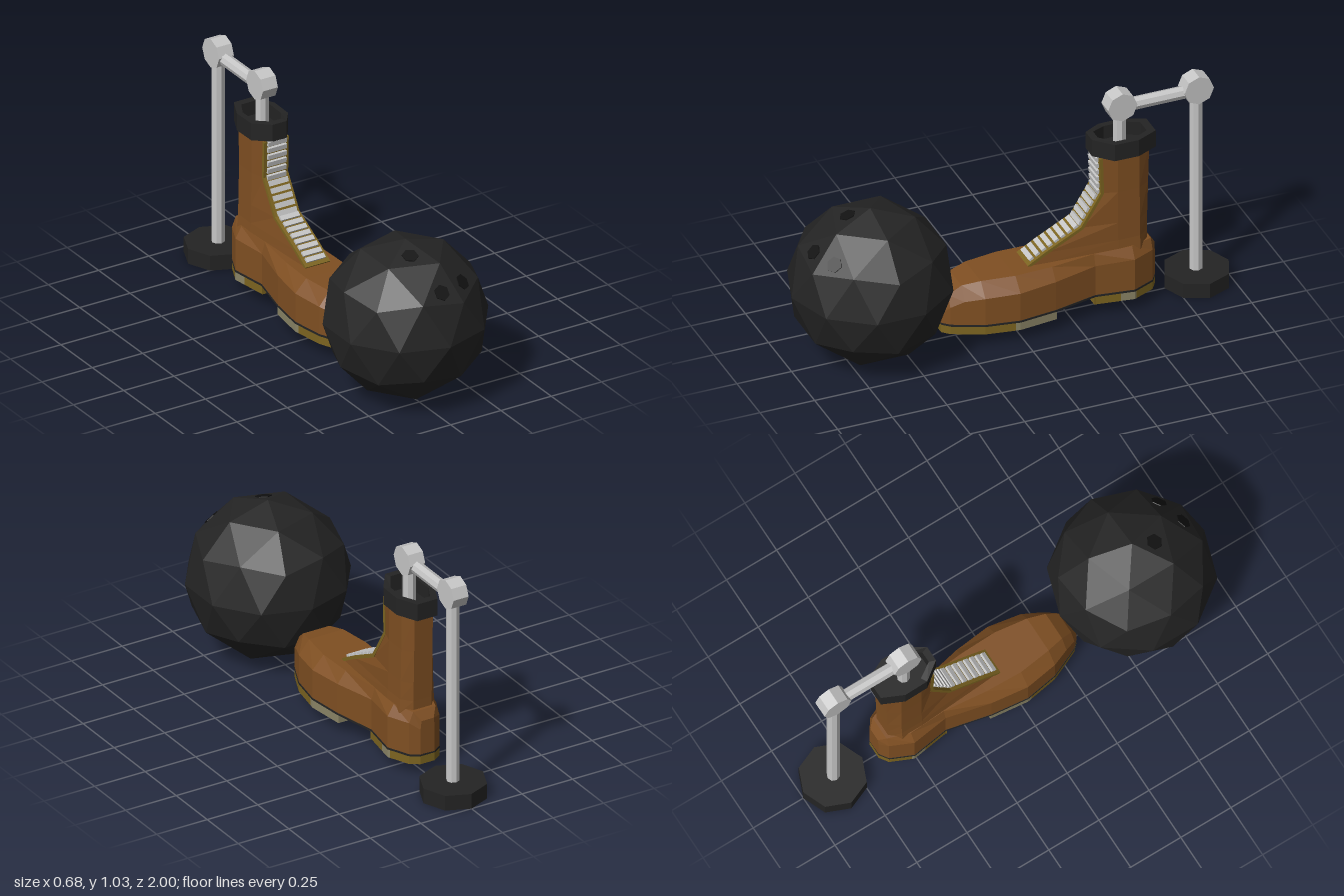
import * as THREE from 'three';

const mat = (name, color) => {
  const m = new THREE.MeshStandardMaterial({ color });
  m.name = name;
  return m;
};

// Faceted normals for every part
function flat(geo) {
  const g = geo.index ? geo.toNonIndexed() : geo;
  g.computeVertexNormals();
  return g;
}

// Skin through closed rings; first ring is counter-clockwise seen from outside
function loft(rings) {
  const pos = [];
  const tri = (...pts) => pts.forEach(p => pos.push(...p));
  const n = rings[0].length;
  for (let j = 0; j < rings.length - 1; j++) {
    for (let i = 0; i < n; i++) {
      const k = (i + 1) % n, a = rings[j], b = rings[j + 1];
      tri(a[i], b[i], a[k]);
      tri(a[k], b[i], b[k]);
    }
  }
  const first = rings[0], last = rings[rings.length - 1];
  for (let i = 1; i < n - 1; i++) {
    tri(first[0], first[i], first[i + 1]);
    tri(last[0], last[i + 1], last[i]);
  }
  const g = new THREE.BufferGeometry();
  g.setAttribute('position', new THREE.Float32BufferAttribute(pos, 3));
  return flat(g);
}

// Mirrored plan outline from half points [x, z], ordered front to back
const plan = half => [
  ...half.map(([x, z]) => new THREE.Vector2(x, -z)),
  ...half.slice().reverse().map(([x, z]) => new THREE.Vector2(-x, -z)),
];

function slab(half, y0, y1, hole) {
  const shape = new THREE.Shape(plan(half));
  if (hole) shape.holes.push(new THREE.Path(plan(hole)));
  return new THREE.ExtrudeGeometry(shape, { depth: y1 - y0, bevelEnabled: false })
    .rotateX(-Math.PI / 2).translate(0, y0, 0);
}

// Shoe stations, toe to heel: z, half width, shoulder y, top half width, top y
const stations = [
  [0.335, 0.045, 0.15, 0.035, 0.175],
  [0.305, 0.075, 0.19, 0.05, 0.24],
  [0.25, 0.10, 0.22, 0.065, 0.283],
  [0.17, 0.135, 0.235, 0.085, 0.297],
  [0.02, 0.16, 0.24, 0.105, 0.298],
  [-0.15, 0.14, 0.245, 0.10, 0.298],
  [-0.35, 0.095, 0.25, 0.08, 0.302],
  [-0.52, 0.12, 0.255, 0.09, 0.306],
  [-0.62, 0.075, 0.255, 0.055, 0.303],
  [-0.647, 0.035, 0.225, 0.03, 0.265],
];

// Half outline of the shoe between two depths
function outline(zA, zB, grow = 0) {
  const width = z => {
    const i = Math.max(1, stations.findIndex(s => s[0] <= z));
    const [a, b] = [stations[i - 1], stations[i]];
    return a[1] + (b[1] - a[1]) * (a[0] - z) / (a[0] - b[0]);
  };
  const zs = [zA, ...stations.map(s => s[0]).filter(z => z < zA && z > zB), zB];
  return zs.map(z => [width(z) + grow, z]);
}

export function createModel() {
  const model = new THREE.Group();
  const black = mat('black', 0x242424);
  const hole = mat('holeBlack', 0x121212);
  const brown = mat('brownLeather', 0x7f4f22);
  const silver = mat('silver', 0xc6c6c6);
  const gold = mat('darkGold', 0x7c6420);
  const khaki = mat('khaki', 0x8a8466);

  const add = (name, geo, material, parent = model) => {
    const m = new THREE.Mesh(geo, material);
    m.name = name;
    parent.add(m);
    return m;
  };
  const group = name => {
    const g = new THREE.Group();
    g.name = name;
    model.add(g);
    return g;
  };
  const rod = (r, h, sides = 8) => flat(new THREE.CylinderGeometry(r, r, h, sides));

  // Ball with three finger holes
  const ball = group('bowlingBall');
  const centre = new THREE.Vector3(0, 0.365, 0.64);
  const sphere = add('ball', flat(new THREE.IcosahedronGeometry(0.36, 1)
    .rotateZ(-Math.atan(2 / (1 + Math.sqrt(5)))).translate(...centre)), black, ball);
  for (const [x, y, z] of [[0.015, 0.21, 0.26], [0.14, 0.21, 0.22], [-0.033, 0.325, 0.09]]) {
    const dir = new THREE.Vector3(x, y, z).normalize();
    const ray = new THREE.Raycaster(centre.clone().add(dir), dir.clone().negate());
    const hit = ray.intersectObject(sphere)[0];
    const disc = add('fingerHole', rod(0.036, 0.008, 6), hole, ball);
    disc.position.copy(hit.point);
    disc.quaternion.setFromUnitVectors(new THREE.Vector3(0, 1, 0), hit.face.normal);
  }

  // Boot: shoe and shaft
  const boot = group('boot');
  add('shoe', loft(stations.map(([z, w, s, tw, t]) => [
    [w, 0.105, z], [w, s, z], [tw, t, z], [-tw, t, z], [-w, s, z], [-w, 0.105, z],
  ])), brown, boot);
  // Shaft levels: y, front z, half width, back z
  add('shaft', loft([
    [0.76, -0.39, 0.077, -0.617], [0.58, -0.395, 0.077, -0.612], [0.43, -0.305, 0.08, -0.608],
    [0.345, -0.14, 0.082, -0.606], [0.28, -0.04, 0.088, -0.606],
  ].map(([y, f, w, b]) => [
    [w, y, -0.46], [w, y, -0.56], [0.045, y, b], [-0.045, y, b],
    [-w, y, -0.56], [-w, y, -0.46], [-0.056, y, f], [0.056, y, f],
  ])), brown, boot);

  // Padded collar, raised at the front
  const collarOuter = [[0.035, -0.36], [0.092, -0.44], [0.094, -0.55], [0.05, -0.645]];
  const collarInner = [[0.025, -0.39], [0.066, -0.455], [0.068, -0.545], [0.035, -0.61]];
  const collarGeo = slab(collarOuter, 0.748, 0.828, collarInner);
  const p = collarGeo.attributes.position;
  for (let i = 0; i < p.count; i++) {
    if (p.getZ(i) > -0.4) p.setY(i, p.getY(i) + 0.012);
  }
  add('collar', flat(collarGeo), black, boot);
  add('collarLining', slab(collarInner, 0.755, 0.764), black, boot);

  // Tongue plates and lace bars along the front
  const line = [[0.298, -0.06], [0.345, -0.14], [0.43, -0.305], [0.58, -0.397], [0.75, -0.392]]
    .map(([y, z]) => new THREE.Vector3(0, y, z));
  const path = new THREE.CurvePath();
  const lay = (mesh, point, t) => {
    mesh.position.copy(point);
    mesh.rotation.x = Math.atan2(t.z, t.y);
  };
  for (let i = 1; i < line.length; i++) {
    const seg = new THREE.LineCurve3(line[i - 1], line[i]);
    path.add(seg);
    const plate = new THREE.BoxGeometry(0.122, seg.getLength() + 0.004, 0.014);
    lay(add('tongue', plate, gold, boot), seg.getPoint(0.5), seg.getTangent(0));
  }
  const bars = 19;
  for (let i = 0; i < bars; i++) {
    const u = (i + 0.9) / bars;
    const lace = add('lace', new THREE.BoxGeometry(0.092, 0.022, 0.036), silver, boot);
    lay(lace, path.getPointAt(Math.min(u, 0.99)), path.getTangentAt(Math.min(u, 0.99)));
    lace.rotation.x += 0.12;
  }

  // Welt, sole and heel with two-tone sides
  add('welt', slab(outline(0.335, -0.647, 0.002), 0.098, 0.107), black, boot);
  for (const [name, a, b, side] of [
    ['frontSole', 0.335, 0.04, gold], ['frontSole', 0.04, -0.155, khaki],
    ['heel', -0.345, -0.46, gold], ['heel', -0.46, -0.53, khaki], ['heel', -0.53, -0.647, gold],
  ]) add(name, slab(outline(a, b), 0.06, 0.099), [khaki, side], boot);
  // Worn patches under the sole
  for (const [x, z, r] of [
    [0, 0.28, 0.035], [-0.07, 0.18, 0.035], [0.06, 0.12, 0.045], [-0.09, 0.02, 0.04],
    [0.07, -0.08, 0.05], [-0.03, -0.1, 0.035], [0.04, -0.4, 0.04], [-0.05, -0.5, 0.04], [0.03, -0.58, 0.035],
  ]) add('solePatch', rod(r, 0.004, 7).translate(x, 0.06, z), gold, boot);

  // Stand: base, pole, arm and drop rod joined by knuckles
  const stand = group('stand');
  add('base', rod(0.147, 0.07).translate(0, 0.035, -0.853), black, stand);
  add('pole', rod(0.029, 0.87).translate(0, 0.5, -0.85), silver, stand);
  add('arm', rod(0.029, 0.34).rotateX(Math.PI / 2).translate(0, 0.953, -0.675), silver, stand);
  add('dropRod', rod(0.029, 0.19).translate(0, 0.85, -0.5), silver, stand);
  for (const z of [-0.85, -0.5]) {
    add('knuckle', rod(0.067, 0.074).rotateZ(Math.PI / 2).translate(0, 0.967, z), silver, stand);
  }
  return model;
}
